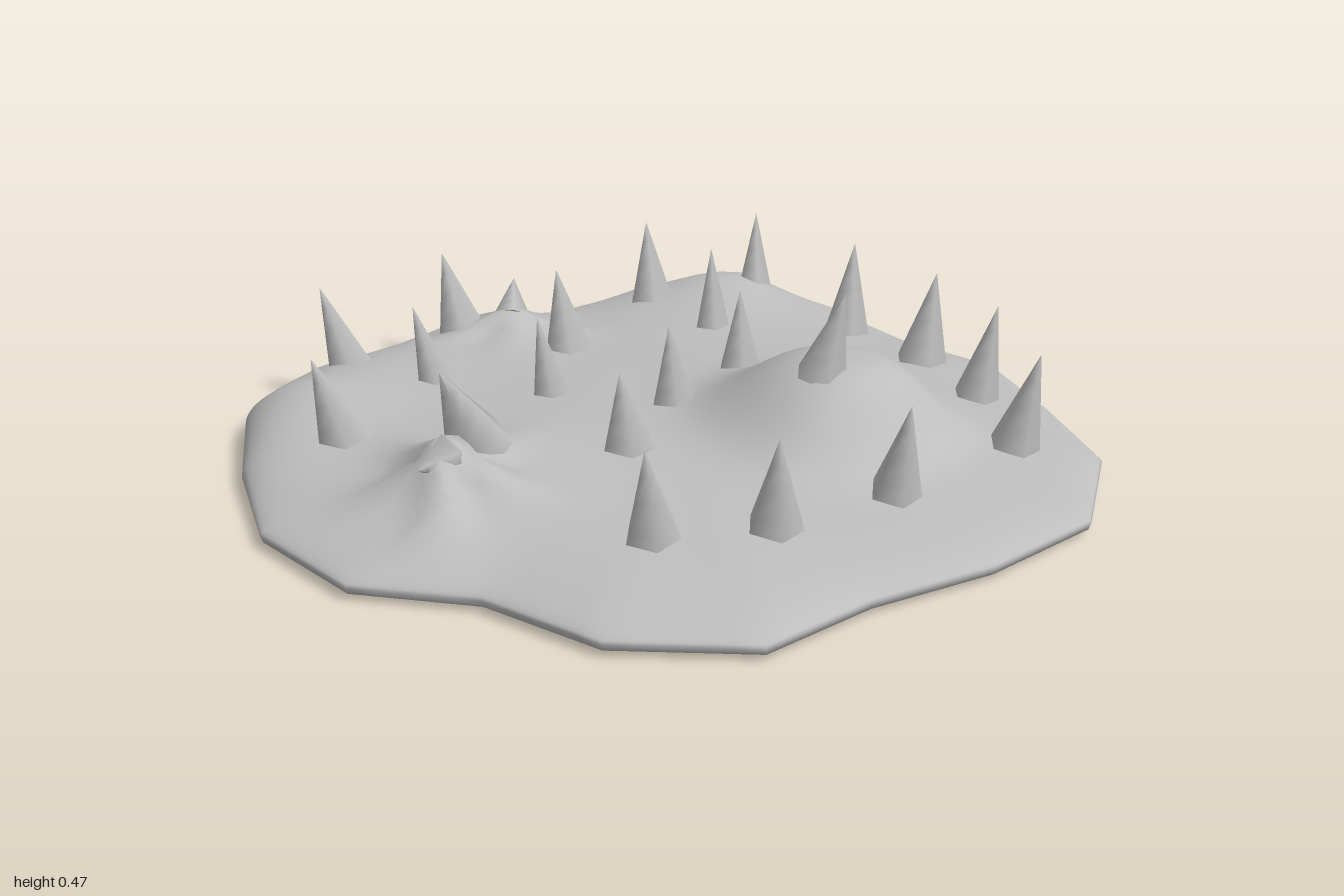
import * as THREE from 'three';

// Rim corners as [x, z], in order of increasing angle
const RIM = [
  [0.2, -1], [0.42, -0.85], [0.7, -0.79], [0.94, -0.53], [1, -0.25], [0.93, 0.05], [0.93, 0.34],
  [0.77, 0.6], [0.59, 0.85], [0.28, 0.99], [-0.04, 0.94], [-0.33, 0.83], [-0.61, 0.78], [-0.81, 0.53],
  [-0.85, 0.23], [-1, -0.02], [-0.98, -0.34], [-0.83, -0.62], [-0.65, -0.86], [-0.39, -0.98], [-0.1, -0.97],
];

// Fraction of the way from the centre to the rim
function rimFraction(x, z) {
  for (let i = 0; i < RIM.length; i++) {
    const [ax, az] = RIM[i], [bx, bz] = RIM[(i + 1) % RIM.length];
    const area = ax * bz - az * bx;
    const u = (x * bz - z * bx) / area, v = (ax * z - az * x) / area;
    if (u >= -1e-9 && v >= -1e-9) return u + v;
  }
  return 0;
}

const mound = (x, z, cx, cz, rx, rz, height, power = 2) =>
  height * Math.exp(-Math.pow(Math.hypot((x - cx) / rx, (z - cz) / rz), power));

// Main hump: steep towards +x and +z, gentle on the other sides
function hump(x, z) {
  const dx = x - 0.22, dz = z - 0.37;
  return mound(dx, dz, 0, 0, dx > 0 ? 0.22 : 0.28, dz > 0 ? 0.21 : 0.3, 0.17, 3);
}

// Small knob with five ribs running down from its peak
function ribbedKnob(x, z, cx, cz, radius, height, turn) {
  const a = Math.atan2(z - cz, x - cx);
  const r = radius * (1 + 0.25 * Math.cos(5 * a + turn));
  return mound(x, z, cx, cz, r, r, height, 1.5);
}

// Height of the top surface: rounded rim, low dome and bumps
function surface(x, z, t = rimFraction(x, z)) {
  const s = Math.min(t, 1);
  const bumps =
    hump(x, z) +
    mound(x, z, 0.82, -0.52, 0.25, 0.23, 0.095) +
    mound(x, z, -0.62, -0.74, 0.3, 0.28, 0.085) +
    mound(x, z, -0.1, -0.85, 0.35, 0.25, 0.03) +
    mound(x, z, -0.45, -0.1, 0.3, 0.35, 0.03) +
    ribbedKnob(x, z, -0.66, -0.09, 0.11, 0.12, 0.5) +
    ribbedKnob(x, z, 0.13, -0.72, 0.1, 0.07, 1.5);
  return 0.03 + 0.022 * Math.sqrt(1 - Math.pow(s, 16)) +
    bumps * Math.sqrt(1 - Math.pow(s, 11)) + 0.066 * (1 - Math.pow(s, 3));
}

// Domed slab: rings from the centre to the rim, tucked under to a flat base
function slabGeometry() {
  const split = 5, rings = 40, n = RIM.length * split;
  const outline = [];
  RIM.forEach(([ax, az], i) => {
    const [bx, bz] = RIM[(i + 1) % RIM.length];
    for (let k = 0; k < split; k++) {
      outline.push([ax + (bx - ax) * k / split, az + (bz - az) * k / split]);
    }
  });
  const pos = [0, surface(0, 0, 0), 0], index = [];
  const addRing = (scale, height) => outline.forEach(([x, z]) =>
    pos.push(x * scale, height(x * scale, z * scale, scale), z * scale));
  for (let r = 1; r <= rings; r++) addRing(1 - Math.pow(1 - r / rings, 1.5), surface);
  addRing(0.995, () => 0.015);
  addRing(0.965, () => 0);
  const count = rings + 2;
  for (let i = 0; i < n; i++) {
    const j = (i + 1) % n;
    index.push(0, 1 + j, 1 + i);
    for (let r = 0; r < count - 1; r++) {
      const a = 1 + r * n, b = a + n;
      index.push(a + i, a + j, b + i, a + j, b + j, b + i);
    }
  }
  const g = new THREE.BufferGeometry();
  g.setAttribute('position', new THREE.Float32BufferAttribute(pos, 3));
  g.setIndex(index);
  g.computeVertexNormals();
  return g;
}

// Flat underside
function undersideGeometry() {
  const shape = new THREE.Shape(RIM.map(([x, z]) => new THREE.Vector2(x * 0.965, z * 0.965)));
  return new THREE.ShapeGeometry(shape).rotateX(Math.PI / 2);
}

// Spikes as [x, z, base radius]
const SPIKES = [
  [-0.34, -0.82, 0.06], [0.03, -0.8, 0.07], [0.13, -0.49, 0.07], [-0.28, -0.55, 0.05], [-0.64, -0.46, 0.07],
  [-0.14, -0.28, 0.052], [0.57, -0.59, 0.065], [0.83, -0.42, 0.05], [0.51, -0.31, 0.052], [0.31, -0.05, 0.06],
  [0.02, -0.02, 0.06], [-0.26, 0.09, 0.07], [0.79, -0.06, 0.07], [0.73, 0.23, 0.075],
  [0.62, 0.47, 0.065], [0.42, 0.7, 0.068], [0, 0.65, 0.066], [-0.3, 0.55, 0.07], [-0.51, 0.39, 0.068],
];

export function createModel() {
  const model = new THREE.Group();
  model.name = 'spikedMound';
  const stone = new THREE.MeshStandardMaterial({ color: 0xbdbdbd });
  stone.name = 'stone grey';

  const add = (name, geometry, parent = model) => {
    const mesh = new THREE.Mesh(geometry, stone);
    mesh.name = name;
    parent.add(mesh);
    return mesh;
  };
  add('slab', slabGeometry());
  add('underside', undersideGeometry());

  // Five-sided spikes, each pointing from its base on the slab to its tip
  const spikes = new THREE.Group();
  spikes.name = 'spikes';
  model.add(spikes);
  const up = new THREE.Vector3(0, 1, 0);
  const addSpike = (name, x, z, radius, tip, sink = 0.02) => {
    const base = new THREE.Vector3(x, surface(x, z) - sink, z);
    const axis = new THREE.Vector3(...tip).sub(base);
    const length = axis.length();
    const cone = new THREE.ConeGeometry(radius, length, 5, 4).rotateY(Math.PI).translate(0, length / 2, 0);
    const spike = add(name, cone, spikes);
    spike.position.copy(base);
    spike.quaternion.setFromUnitVectors(up, axis.normalize());
  };
  for (const [x, z, r] of SPIKES) addSpike('spike', x, z, r, [x * 1.07 - 0.015, 0.325, z * 1.07]);
  addSpike('tallSpike', 0.12, 0.35, 0.064, [0.14, 0.47, 0.4]);
  addSpike('leaningSpike', -0.53, -0.12, 0.085, [-0.66, 0.39, -0.09]);

  // Small horns jutting from the two knobs
  addSpike('horn', -0.66, -0.08, 0.06, [-0.745, 0.19, -0.08], 0.05);
  addSpike('horn', 0.14, -0.72, 0.05, [0.19, 0.23, -0.76], 0.03);
  return model;
}
